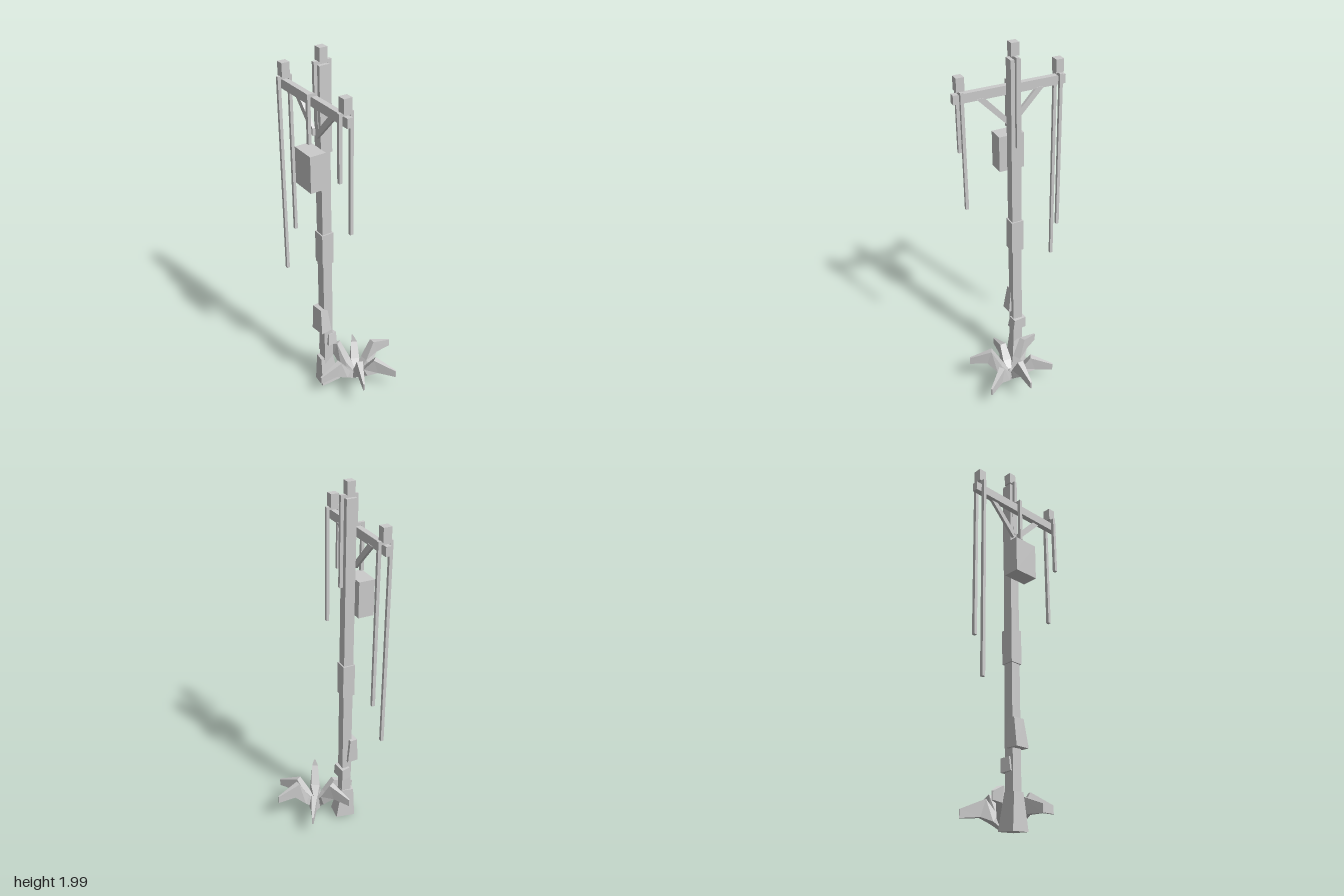
import * as THREE from 'three';

const mat = new THREE.MeshStandardMaterial({ color: 0xcccccc, flatShading: true });

function add(parent, name, geo) {
  const mesh = new THREE.Mesh(geo, mat);
  mesh.name = name;
  parent.add(mesh);
  return mesh;
}

// Axis-aligned box given by its limits
function box(parent, name, x0, x1, y0, y1, z0, z1) {
  const mesh = add(parent, name, new THREE.BoxGeometry(x1 - x0, y1 - y0, z1 - z0));
  mesh.position.set((x0 + x1) / 2, (y0 + y1) / 2, (z0 + z1) / 2);
  return mesh;
}

// Box that narrows toward the top; top = [width, depth, shiftX, shiftZ]
function taperedBlock(parent, name, pos, size, top, rot) {
  const geo = new THREE.BoxGeometry(...size);
  const p = geo.attributes.position;
  for (let i = 0; i < p.count; i++) {
    if (p.getY(i) > 0) {
      p.setX(i, Math.sign(p.getX(i)) * top[0] / 2 + top[2]);
      p.setZ(i, Math.sign(p.getZ(i)) * top[1] / 2 + top[3]);
    }
  }
  geo.computeVertexNormals();
  const mesh = add(parent, name, geo);
  mesh.position.set(...pos);
  mesh.rotation.set(...rot);
  return mesh;
}

// Bent leaf lofted through four-cornered sections, growing along +x
function leafGeometry(drop) {
  // [top r, top y, bottom r, bottom y, top width, bottom width]
  const sections = [
    [0.0, 0.06, 0.035, 0.055, 0.012, 0.05],
    [0.055, 0.14, 0.08, 0.1 - drop * 0.3, 0.05, 0.064],
    [0.112, 0.243 - drop, 0.138, 0.155 - drop, 0.034, 0.028],
    [0.238, 0.19 - drop, 0.238, 0.147 - drop, 0.009, 0.009],
  ];
  sections[1][1] -= drop * 0.45;
  const verts = [], index = [];
  for (const [rt, yt, rb, yb, wt, wb] of sections) {
    verts.push(rt, yt, -wt / 2, rt, yt, wt / 2, rb, yb, wb / 2, rb, yb, -wb / 2);
  }
  for (let s = 0; s < sections.length - 1; s++) {
    for (let k = 0; k < 4; k++) {
      const a = s * 4 + k, b = s * 4 + (k + 1) % 4;
      index.push(a, b, b + 4, a, b + 4, a + 4);
    }
  }
  const e = (sections.length - 1) * 4;
  index.push(0, 2, 1, 0, 3, 2, e, e + 1, e + 2, e, e + 2, e + 3);
  const geo = new THREE.BufferGeometry();
  geo.setAttribute('position', new THREE.Float32BufferAttribute(verts, 3));
  geo.setIndex(index);
  const flat = geo.toNonIndexed();
  flat.computeVertexNormals();
  return flat;
}

export function createModel() {
  const model = new THREE.Group();
  const px = -0.132, pz = -0.008; // pole axis
  const ax = -0.178;              // crossarm axis

  // Pole with its sleeve and top insulator
  const pole = new THREE.Group();
  pole.name = 'pole';
  model.add(pole);
  box(pole, 'shaft', px - 0.027, px + 0.027, 0.05, 1.92, pz - 0.027, pz + 0.027);
  box(pole, 'sleeve', px - 0.034, px + 0.034, 0.84, 1.025, pz - 0.034, pz + 0.034);
  box(pole, 'topInsulator', px - 0.021, px + 0.021, 1.935, 2, pz - 0.021, pz + 0.021);

  // Crossarm and its diagonal braces
  const arm = new THREE.Group();
  arm.name = 'crossarm';
  model.add(arm);
  box(arm, 'beam', ax - 0.015, ax + 0.015, 1.727, 1.775, -0.31, 0.292);
  for (const side of [-1, 1]) {
    const brace = new THREE.Shape([
      [0.018, 1.565], [0.018, 1.605], [0.14, 1.735], [0.182, 1.735],
    ].map(([z, y]) => new THREE.Vector2(side * z, y)));
    const geo = new THREE.ExtrudeGeometry(brace, { depth: 0.016, bevelEnabled: false });
    const mesh = add(arm, 'brace', geo);
    mesh.rotation.y = -Math.PI / 2;
    mesh.position.set(-0.16, 0, pz);
  }

  // Wire draped over a support, with an uneven drop on either side
  function drapedWire(x0, x1, top, z, lowLeft, lowRight) {
    const wire = new THREE.Group();
    wire.name = 'wire';
    model.add(wire);
    const h = 0.0085;
    box(wire, 'wireBridge', x0, x1, top - 0.016, top, z - h, z + h);
    box(wire, 'wireDrop', x0, x0 + 0.017, lowLeft, top - 0.016, z - h, z + h);
    box(wire, 'wireDrop', x1 - 0.017, x1, lowRight, top - 0.016, z - h, z + h);
  }
  for (const [z, lowLeft, lowRight] of [[0.255, 1.45, 1.155], [-0.273, 0.68, 0.915]]) {
    box(arm, 'insulator', ax - 0.022, ax + 0.022, 1.79, 1.86, z - 0.021, z + 0.021);
    drapedWire(-0.217, -0.139, 1.791, z, lowLeft, lowRight);
  }
  drapedWire(-0.176, -0.083, 1.936, pz, 1.79, 1.47);
  drapedWire(-0.215, -0.145, 1.791, pz, 1.54, 1.6);

  // Equipment box on the side of the pole
  box(model, 'equipmentBox', -0.246, -0.159, 1.315, 1.51, -0.077, 0.062);

  // Rough blocks clasping the lower pole
  taperedBlock(model, 'upperPatch', [-0.162, 0.475, -0.008], [0.064, 0.145, 0.088],
    [0.042, 0.07, 0.002, -0.004], [-0.06, 0.08, 0.02]);
  taperedBlock(model, 'lowerPatch', [-0.117, 0.325, -0.011], [0.058, 0.07, 0.085],
    [0.05, 0.075, 0, 0], [-0.06, 0.15, -0.06]);
  taperedBlock(model, 'footing', [-0.135, 0.105, -0.011], [0.112, 0.18, 0.09],
    [0.072, 0.055, 0.004, 0.004], [-0.05, -0.1, 0.1]);

  // Plant with bent leaves, alternating tall and short
  const plant = new THREE.Group();
  plant.name = 'plant';
  plant.position.set(0.006, 0, 0.089);
  model.add(plant);
  const core = add(plant, 'plantCore', new THREE.CylinderGeometry(0.012, 0.042, 0.035, 6));
  core.position.y = 0.0725;
  [-2, 53, 114, 180, 241, 299].forEach((deg, i) => {
    const leaf = add(plant, 'leaf', leafGeometry(i % 2 ? 0.047 : 0));
    leaf.rotation.y = -THREE.MathUtils.degToRad(deg);
  });

  return model;
}
